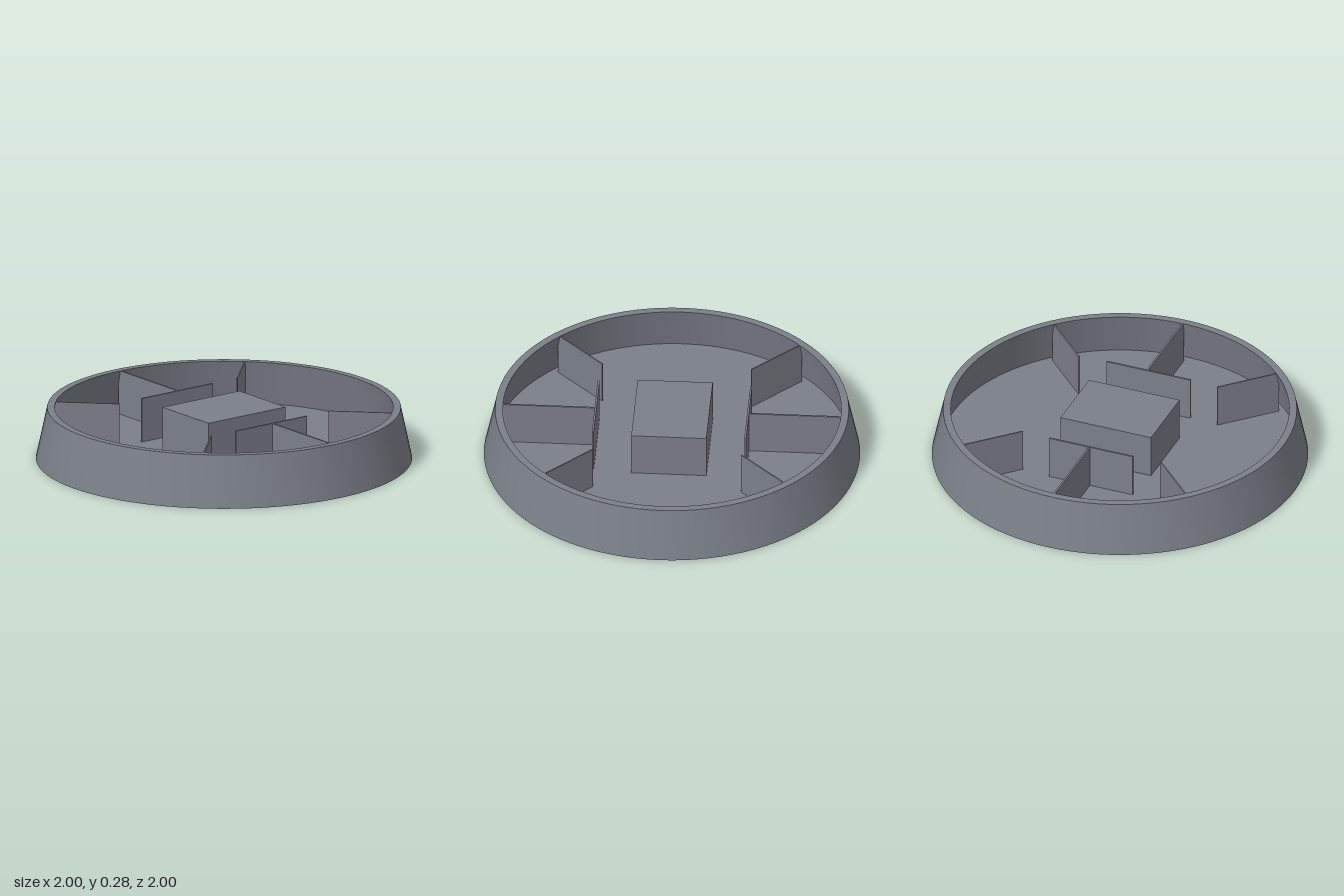
import * as THREE from 'three';
import { toCreasedNormals } from 'three/addons/utils/BufferGeometryUtils.js';

const FLOOR = 0.04, TOP = 0.28, THIN = 0.01;

export function createModel() {
  const model = new THREE.Group();
  const material = new THREE.MeshStandardMaterial({ color: 0x7b8088 });

  const add = (name, geometry, x = 0, y = 0, z = 0, turn = 0) => {
    const mesh = new THREE.Mesh(geometry, material);
    mesh.name = name;
    mesh.position.set(x, y, z);
    mesh.rotation.y = turn;
    model.add(mesh);
  };

  // Round tray: tapered wall of even thickness around a flat floor
  const profile = [[0, 0], [1, 0], [0.94, TOP], [0.9, TOP], [0.95, FLOOR], [0, FLOOR]]
    .map(([r, y]) => new THREE.Vector2(r, y));
  add('tray', toCreasedNormals(new THREE.LatheGeometry(profile, 96), 0.5));

  // Block in the middle
  const height = TOP - FLOOR, middle = (TOP + FLOOR) / 2;
  add('centreBlock', new THREE.BoxGeometry(0.4, height, 0.52), 0, middle, 0);

  // Thin upright rib from an inner radius out to the wall, just below the rim
  const ribGeometry = (inner, thickness) => {
    const outer = 0.915, ribHeight = height - 0.001;
    return new THREE.BoxGeometry(outer - inner, ribHeight, thickness)
      .translate((outer + inner) / 2, FLOOR + ribHeight / 2, 0);
  };

  for (const side of [1, -1]) {
    const name = side > 0 ? 'left' : 'right';
    const turn = side > 0 ? 0 : Math.PI;
    // Upright plate beside the block, with a rib behind it
    add(name + 'Plate', new THREE.BoxGeometry(THIN, height, 0.48), side * 0.406, middle, 0);
    add(name + 'Rib', ribGeometry(0.41, THIN), 0, 0, -0.01, turn);
    // Diagonal ribs
    for (const way of [1, -1]) {
      add(name + (side * way > 0 ? 'Back' : 'Front') + 'DiagonalRib',
        ribGeometry(0.56, 0.007), 0, 0, 0, turn + way * Math.PI / 4);
    }
  }
  return model;
}
